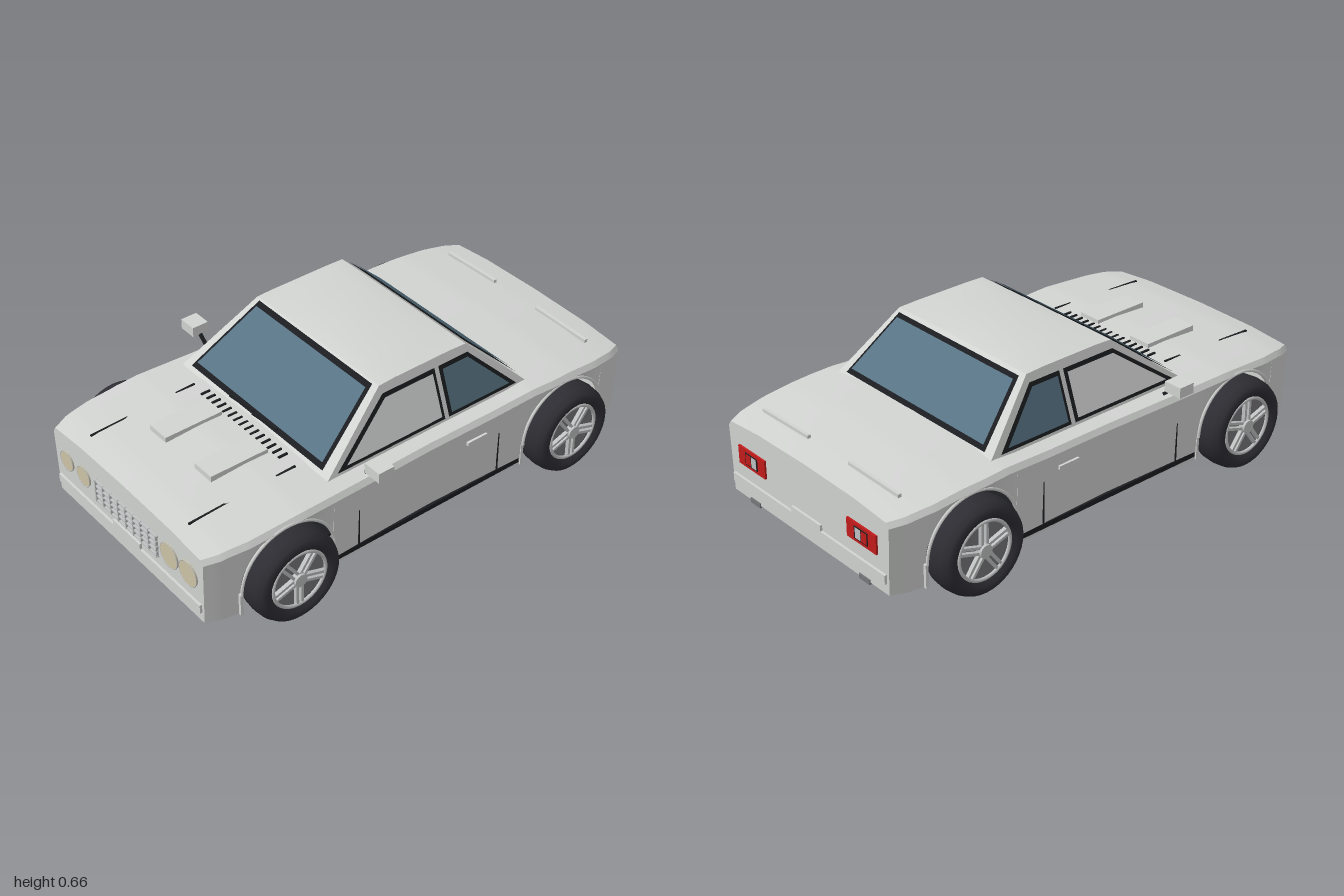
import * as THREE from 'three';
import { toCreasedNormals } from 'three/addons/utils/BufferGeometryUtils.js';

const mat = (name, color, side = THREE.DoubleSide) => new THREE.MeshStandardMaterial({ name, color, side });
const V = (x, y, z) => new THREE.Vector3(x, y, z);

// linear interpolation through [z, value] pairs listed from front to back
function curve(pairs) {
  return z => {
    for (let i = 0; i < pairs.length - 1; i++) {
      const [z0, v0] = pairs[i], [z1, v1] = pairs[i + 1];
      if (z >= z1) return v0 + (v1 - v0) * (z0 - z) / (z0 - z1);
    }
    return pairs[pairs.length - 1][1];
  };
}
const halfWidth = curve([[0.99, 0.475], [0.93, 0.5], [0.82, 0.518], [0.6, 0.525], [0.3, 0.515], [0, 0.508],
  [-0.3, 0.515], [-0.6, 0.525], [-0.82, 0.518], [-0.93, 0.5], [-0.99, 0.475]]);
const topY = curve([[0.99, 0.4], [0.9, 0.413], [0.6, 0.43], [0.3, 0.425], [0, 0.425], [-0.3, 0.43],
  [-0.5, 0.44], [-0.7, 0.433], [-0.88, 0.415], [-0.99, 0.4]]);

// skin over cross-sections that run from -x to +x, ordered front to back
function loft(sections) {
  const n = sections[0].length, index = [];
  for (let i = 0; i < sections.length - 1; i++)
    for (let j = 0; j < n - 1; j++) {
      const a = i * n + j, c = a + n;
      index.push(a, a + 1, c, a + 1, c + 1, c);
    }
  const g = new THREE.BufferGeometry().setFromPoints(sections.flat());
  g.setIndex(index);
  return toCreasedNormals(g, 0.45);
}
const mirrored = half => [...half, ...half.slice(0, -1).reverse().map(p => V(-p.x, p.y, p.z))];
const bodySection = (z, yb) => {
  const w = halfWidth(z), t = topY(z);
  return mirrored([V(0.01 - w, yb, z), V(-w, t - 0.04, z), V(-w * 0.97, t - 0.02, z), V(-w * 0.6, t - 0.005, z), V(0, t, z)]);
};

// move the edges of a convex outline inward by d
function inset(pts, d) {
  const s = Math.sign(THREE.ShapeUtils.area(pts)), n = pts.length;
  const line = i => {
    const p = pts[i], q = pts[(i + 1) % n], dir = q.clone().sub(p).normalize();
    return { p: p.clone().add(new THREE.Vector2(-dir.y, dir.x).multiplyScalar(s * d)), dir };
  };
  return pts.map((_, i) => {
    const a = line((i + n - 1) % n), b = line(i);
    const t = b.p.clone().sub(a.p).cross(b.dir) / a.dir.cross(b.dir);
    return a.p.clone().addScaledVector(a.dir, t);
  });
}

export function createModel() {
  const car = new THREE.Group();
  car.name = 'car';
  const paint = mat('body paint', 0xd2d4d2), glass = mat('tinted glass', 0x587484), seal = mat('black trim', 0x1c1d20);
  const pane = mat('door glass', 0xdcdedd), rubber = mat('tyre rubber', 0x2e2d33), alloy = mat('alloy', 0xc0c1c2);
  const dark = mat('rim shade', 0x77787a), lamp = mat('headlamp', 0xcdc5a6), red = mat('tail lamp red', 0xc41c1c);

  const add = (name, geo, material, x = 0, y = 0, z = 0, parent = car) => {
    const m = new THREE.Mesh(geo, material);
    m.name = name;
    m.position.set(x, y, z);
    parent.add(m);
    return m;
  };
  const box = (name, material, w, h, d, x, y, z, parent) => add(name, new THREE.BoxGeometry(w, h, d), material, x, y, z, parent);
  const bar = (name, material, a, b, w, h) => {
    const m = box(name, material, w, h, a.distanceTo(b), 0, 0, 0);
    m.position.copy(a).lerp(b, 0.5);
    m.lookAt(b);
    return m;
  };

  // body shell with open wheel arches
  const archR = 0.2, archY = 0.185, axle = 0.66, stations = [];
  for (const z of [0.99, 0.96, 0.93, 0.9, 0.4, 0.3, 0.15, 0, -0.15, -0.3, -0.4, -0.9, -0.93, -0.96, -0.99]) stations.push([z, 0.09]);
  for (const c of [axle, -axle]) {
    stations.push([c + archR + 0.0002, 0.09], [c - archR - 0.0002, 0.09]);
    for (let i = 0; i <= 20; i++) {
      const a = Math.PI * i / 20;
      stations.push([c + archR * Math.cos(a), archY + archR * Math.sin(a)]);
    }
  }
  stations.sort((a, b) => b[0] - a[0]);
  add('bodyShell', loft(stations.map(([z, y]) => bodySection(z, y))), paint);
  for (const s of [1, -1]) {
    const outline = new THREE.Shape(bodySection(s * 0.99, 0.09).map(p => new THREE.Vector2(p.x, p.y)));
    const panel = add(s > 0 ? 'frontPanel' : 'rearPanel', new THREE.ShapeGeometry(outline), paint, 0, 0, s * 0.99);
    if (s < 0) panel.rotation.y = Math.PI;
  }
  box('floor', seal, 0.77, 0.01, 1.88, 0, 0.1, 0);

  // cabin
  const cab = (z, y, crown, w) => mirrored([V(-0.445, 0.42, z), V(-w, y, z), V(-w * 0.6, y + crown * 0.7, z), V(0, y + crown, z)]);
  add('cabin', loft([cab(0.43, 0.42, 0, 0.445), cab(0.13, 0.65, 0.002, 0.36), cab(0.06, 0.653, 0.011, 0.359),
    cab(-0.2, 0.653, 0.011, 0.359), cab(-0.28, 0.65, 0.002, 0.36), cab(-0.52, 0.42, 0, 0.445)]), paint);

  // windows: a black seal plate with the pane laid on it
  const plate = (name, pts, material, place) => {
    const g = new THREE.ShapeGeometry(new THREE.Shape(pts)), p = g.attributes.position;
    for (let i = 0; i < p.count; i++) p.setXYZ(i, ...place(p.getX(i), p.getY(i)));
    g.computeVertexNormals();
    add(name, g, material);
  };
  const windowOf = (name, coords, material, place) => {
    const pts = coords.map(c => new THREE.Vector2(...c));
    plate(name + 'Seal', pts, seal, place(0.004));
    plate(name + 'Pane', inset(pts, 0.014), material, place(0.008));
  };
  windowOf('windscreen', [[-0.4, 0.432], [0.4, 0.432], [0.335, 0.645], [-0.335, 0.645]], glass,
    o => (x, y) => [x, y + o, 0.43 - (y - 0.42) * 1.304 + o]);
  windowOf('rearScreen', [[0.4, 0.435], [-0.4, 0.435], [-0.34, 0.638], [0.34, 0.638]], glass,
    o => (x, y) => [x, y + o, -0.52 + (y - 0.42) * 1.043 - o]);
  for (const s of [1, -1]) {
    const side = o => (z, y) => [s * (0.445 - (y - 0.42) * 0.37 + o), y, z];
    windowOf('doorWindow', [[0.385, 0.432], [0.125, 0.622], [-0.118, 0.622], [-0.118, 0.432]], pane, side);
    windowOf('quarterWindow', [[-0.137, 0.432], [-0.137, 0.622], [-0.278, 0.622], [-0.47, 0.432]], glass, side);
  }

  // wheels
  const tyre = new THREE.LatheGeometry([[0.118, -0.055], [0.135, -0.073], [0.152, -0.077], [0.17, -0.066], [0.181, -0.04], [0.185, 0],
    [0.181, 0.04], [0.17, 0.066], [0.152, 0.077], [0.135, 0.073], [0.118, 0.055]].map(p => new THREE.Vector2(...p)), 40);
  for (const s of [1, -1]) for (const z of [axle, -axle]) {
    const wheel = new THREE.Group();
    wheel.name = 'wheel';
    wheel.position.set(s * 0.518, 0.185, z);
    wheel.rotation.z = -s * Math.PI / 2;
    car.add(wheel);
    add('tyre', tyre, rubber, 0, 0, 0, wheel);
    add('rimDisc', new THREE.CylinderGeometry(0.119, 0.119, 0.09, 32), dark, 0, 0, 0, wheel);
    add('rimLip', new THREE.TorusGeometry(0.115, 0.007, 8, 40), alloy, 0, 0.058, 0, wheel).rotation.x = Math.PI / 2;
    add('hub', new THREE.CylinderGeometry(0.026, 0.03, 0.03, 20), alloy, 0, 0.055, 0, wheel);
    for (let i = 0; i < 5; i++) {
      const spoke = new THREE.Group();
      spoke.name = 'spoke';
      spoke.rotation.y = i * Math.PI * 0.4;
      wheel.add(spoke);
      for (const d of [-1, 1]) box('spokeArm', alloy, 0.1, 0.016, 0.011, 0.065, 0.053, d * 0.011, spoke);
    }
    // arch lip
    const lip = add('archLip', new THREE.TorusGeometry(0.205, 0.006, 6, 32, Math.PI), paint, s * 0.518, archY, z);
    lip.rotation.y = Math.PI / 2;
    for (const d of [-1, 1]) box('archLipEnd', paint, 0.012, 0.095, 0.012, s * 0.51, 0.138, z + d * 0.205);
  }

  // side trim, doors and mirrors
  for (const s of [1, -1]) {
    box('sill', seal, 0.012, 0.02, 0.89, s * 0.505, 0.112, 0);
    for (const z of [0.34, -0.33]) box('doorGap', seal, 0.004, 0.265, 0.005, s * 0.511, 0.257, z);
    box('doorHandle', paint, 0.014, 0.014, 0.095, s * 0.514, 0.332, -0.215);
    box('mirror', paint, 0.078, 0.042, 0.07, s * 0.56, 0.478, 0.29);
    bar('mirrorArm', seal, V(s * 0.485, 0.42, 0.29), V(s * 0.53, 0.46, 0.29), 0.012, 0.012);
  }

  // bonnet and boot details
  for (const s of [1, -1]) {
    bar('bonnetGap', seal, V(s * 0.31, topY(0.93) - 0.003, 0.93), V(s * 0.31, topY(0.47) - 0.003, 0.47), 0.008, 0.006);
    box('bonnetScoop', paint, 0.1, 0.025, 0.25, s * 0.14, 0.43, 0.625);
    bar('bootStrip', paint, V(s * 0.4, 0.413, -0.882), V(s * 0.12, 0.419, -0.882), 0.014, 0.014);
    bar('wiper', seal, V(s * 0.07 - 0.08, 0.443, 0.422), V(s * 0.07 + 0.06, 0.45, 0.414), 0.008, 0.006);
  }
  for (let i = 0; i < 15; i++) box('bonnetVent', seal, 0.008, 0.006, 0.04, -0.238 + i * 0.034, 0.428, 0.47);

  // nose: lamps, grille and bumper
  for (const [x, r] of [[-0.39, 0.042], [-0.277, 0.042], [0.272, 0.052], [0.387, 0.052]]) {
    add('headlamp', new THREE.CylinderGeometry(r, r, 0.008, 32), lamp, x, 0.27, 0.993).rotation.x = Math.PI / 2;
    add('headlampRing', new THREE.TorusGeometry(r, 0.002, 6, 32), alloy, x, 0.27, 0.996);
  }
  for (let i = 0; i < 5; i++) box('grilleBar', alloy, 0.4, 0.005, 0.009, 0, 0.213 + i * 0.023, 0.994);
  for (let i = 0; i < 9; i++) box('grillePost', alloy, 0.006, 0.1, 0.011, -0.194 + i * 0.0485, 0.259, 0.994);
  for (const s of [1, -1]) {
    box('bumper', paint, 0.91, 0.036, 0.01, 0, 0.152, s * 0.995);
    box('bumperRaise', paint, 0.174, 0.025, 0.01, 0, 0.182, s * 0.995);
  }

  // tail lamps and tow brackets
  for (const s of [1, -1]) {
    box('tailLamp', red, 0.165, 0.075, 0.008, s * 0.328, 0.268, -0.994);
    box('tailLampFrame', seal, 0.075, 0.05, 0.003, s * 0.328, 0.268, -0.9985);
    box('reverseLamp', alloy, 0.03, 0.042, 0.002, s * 0.312, 0.268, -1);
    box('tailLampCell', red, 0.03, 0.042, 0.002, s * 0.346, 0.268, -1);
    box('towBracket', dark, 0.06, 0.02, 0.04, s * 0.33, 0.092, -0.975);
  }
  return car;
}
